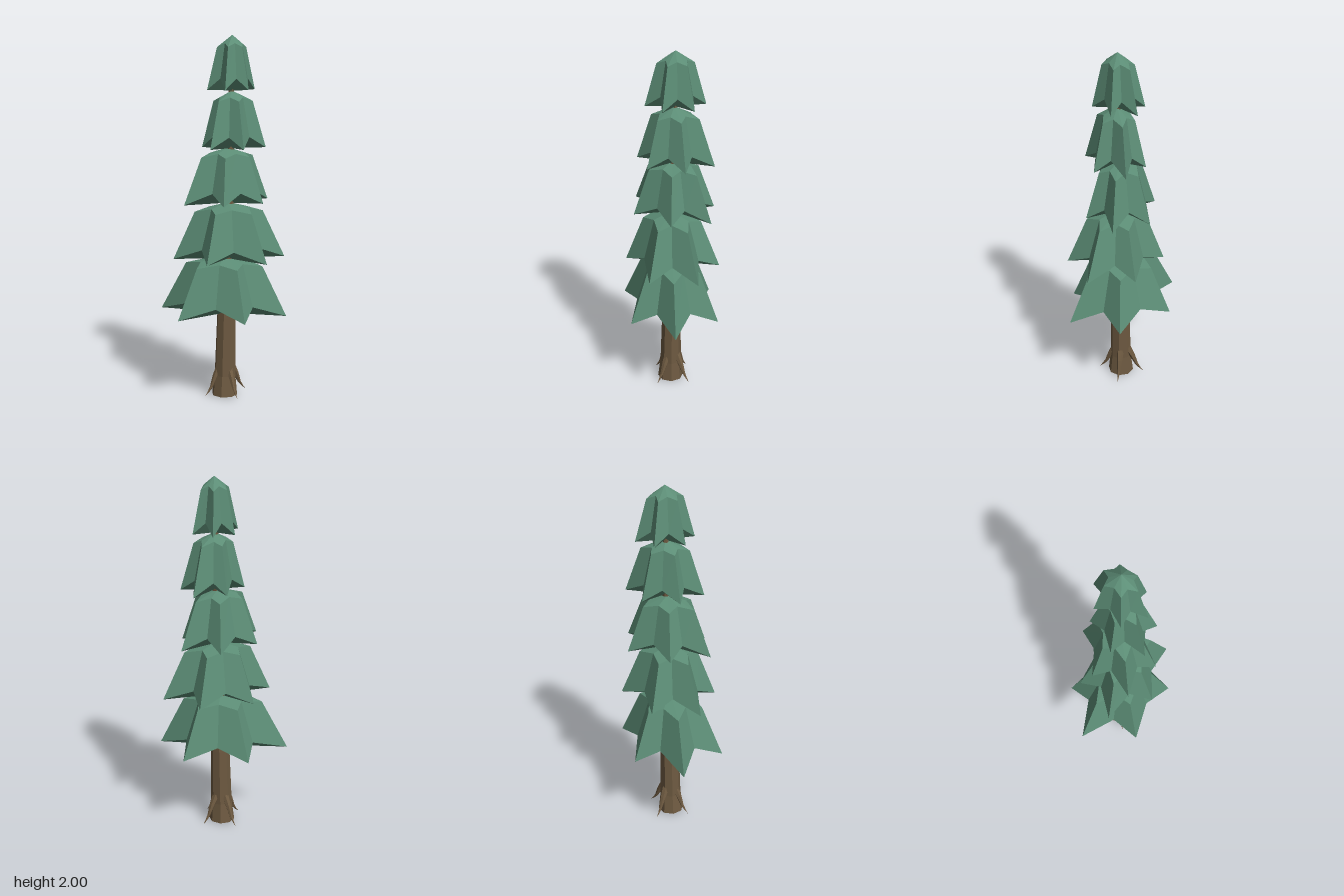
import * as THREE from 'three';

const needleGreen = new THREE.MeshStandardMaterial({ color: 0x5c8d76, flatShading: true });
needleGreen.name = 'needleGreen';
const barkBrown = new THREE.MeshStandardMaterial({ color: 0x6e5a41, flatShading: true });
barkBrown.name = 'barkBrown';

// Branch tiers: centre [x, z], heights of tips / shoulder / apex, and the [x, z] of each branch tip
const TIERS = [
  { c: [0.015, 0], tip: 0.48, shoulder: 0.75, apex: 0.8,
    tips: [[0.36, 0], [0.185, 0.235], [-0.18, 0.26], [-0.36, 0], [-0.16, -0.235], [0.195, -0.25]] },
  { c: [0.03, 0], tip: 0.79, shoulder: 1.05, apex: 1.1,
    tips: [[0.28, 0.135], [-0.02, 0.25], [-0.25, 0.115], [-0.18, -0.14], [0.1, -0.26], [0.32, -0.125]] },
  { c: [0.025, -0.01], tip: 1.1, shoulder: 1.35, apex: 1.4,
    tips: [[0.23, 0.015], [0.06, 0.205], [-0.165, 0.185], [-0.187, -0.04], [-0.01, -0.237], [0.205, -0.2]] },
  { c: [0.045, -0.015], tip: 1.4, shoulder: 1.65, apex: 1.705,
    tips: [[0.15, 0.135], [-0.02, 0.18], [-0.11, 0.03], [-0.035, -0.16], [0.135, -0.22], [0.225, -0.06]] },
  { c: [0.047, -0.02], tip: 1.71, shoulder: 1.935, apex: 2.0,
    tips: [[0.155, 0.055], [0.05, 0.14], [-0.07, 0.065], [-0.07, -0.1], [0.035, -0.18], [0.15, -0.11]] },
];

// One tier: star-shaped skirt with a shoulder ring, pointed cap and closed underside
function tierGeometry({ c, tip, shoulder, apex, tips }) {
  const lower = [], upper = [];
  const at = (dx, dz, k, y) => [c[0] + dx * k, y, c[1] + dz * k];
  tips.forEach((t, i) => {
    const n = tips[(i + 1) % tips.length];
    const a = [t[0] - c[0], t[1] - c[1]], b = [n[0] - c[0], n[1] - c[1]];
    const ra = Math.hypot(...a), rb = Math.hypot(...b), r = (ra + rb) / 2;
    // valley direction bisects neighbouring tips
    const m = [a[0] / ra + b[0] / rb, a[1] / ra + b[1] / rb];
    const k = r / Math.hypot(...m);
    lower.push(at(...a, 1, tip), at(...m, k * 0.63, tip + 0.06));
    upper.push(at(...a, 0.61, shoulder), at(...m, k * 0.4, shoulder + 0.02));
  });
  const top = [c[0], apex, c[1]], base = [c[0], tip - 0.005, c[1]];
  const pos = [];
  lower.forEach((l, i) => {
    const j = (i + 1) % lower.length;
    pos.push(
      ...top, ...upper[j], ...upper[i],
      ...lower[j], ...l, ...upper[i],
      ...lower[j], ...upper[i], ...upper[j],
      ...base, ...l, ...lower[j],
    );
  });
  const g = new THREE.BufferGeometry();
  g.setAttribute('position', new THREE.Float32BufferAttribute(pos, 3));
  g.computeVertexNormals();
  return g;
}

// Trunk: tapered lathe leaning gently along the tree axis
function trunkGeometry() {
  const profile = [[0, 0.005], [0.073, 0.005], [0.06, 0.12], [0.053, 0.45], [0.038, 0.9], [0.025, 1.35], [0.014, 1.75], [0, 1.78]];
  const g = new THREE.LatheGeometry(profile.map(p => new THREE.Vector2(...p)), 8);
  const p = g.attributes.position;
  for (let i = 0; i < p.count; i++) {
    const y = p.getY(i);
    p.setX(i, p.getX(i) + 0.011 + 0.018 * y);
    p.setZ(i, p.getZ(i) + 0.004 - 0.012 * y);
  }
  g.computeVertexNormals();
  return g;
}

// Root: curved tube tapering to a claw-like tip
function rootGeometry() {
  const curve = new THREE.CatmullRomCurve3([[0.035, 0.17], [0.068, 0.11], [0.095, 0.05], [0.132, 0.008]]
    .map(([r, y]) => new THREE.Vector3(r, y, 0)));
  const rings = 6, sides = 6;
  const g = new THREE.TubeGeometry(curve, rings, 0.021, sides);
  const p = g.attributes.position, v = new THREE.Vector3();
  for (let i = 0; i < p.count; i++) {
    const t = Math.floor(i / (sides + 1)) / rings;
    v.fromBufferAttribute(p, i).lerp(curve.getPointAt(t), t ** 1.3);
    p.setXYZ(i, v.x, Math.max(0, v.y), v.z);
  }
  g.computeVertexNormals();
  return g;
}

export function createModel() {
  const tree = new THREE.Group();
  tree.name = 'pineTree';

  const add = (name, geometry, material) => {
    const mesh = new THREE.Mesh(geometry, material);
    mesh.name = name;
    tree.add(mesh);
    return mesh;
  };

  add('trunk', trunkGeometry(), barkBrown);

  // Four roots on the diagonals
  const root = rootGeometry();
  for (let i = 0; i < 4; i++) {
    const mesh = add(`root${i + 1}`, root, barkBrown);
    mesh.position.set(0.014, 0, -0.005);
    mesh.rotation.y = Math.PI / 4 + i * Math.PI / 2;
  }

  TIERS.forEach((tier, i) => add(`branchTier${i + 1}`, tierGeometry(tier), needleGreen));
  return tree;
}
